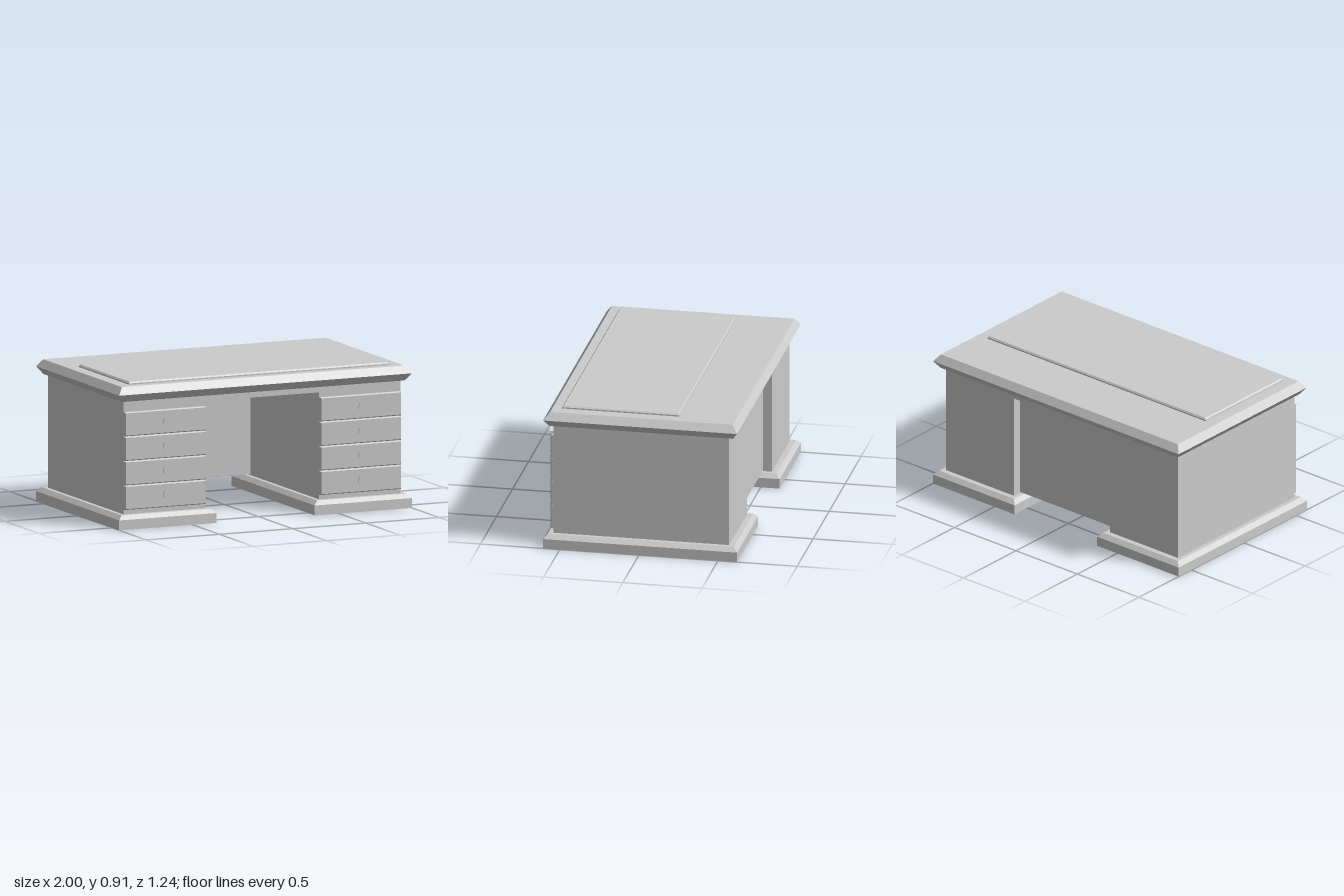
import * as THREE from 'three';

const material = new THREE.MeshStandardMaterial({ color: 0xcccccc, flatShading: true });
const shellMaterial = new THREE.MeshStandardMaterial({ color: 0xcccccc, flatShading: true, side: THREE.DoubleSide });

// Stacks rectangles [x0, x1, z0, z1, y] into a faceted solid, or an open shell without caps.
function loft(rings, capped = true) {
  const pos = [];
  const corners = rings.map(([x0, x1, z0, z1, y]) => [[x0, y, z1], [x1, y, z1], [x1, y, z0], [x0, y, z0]]);
  const quad = (a, b, c, d) => pos.push(...a, ...b, ...c, ...a, ...c, ...d);
  for (let i = 0; i + 1 < corners.length; i++) {
    const lo = corners[i], hi = corners[i + 1];
    for (let j = 0; j < 4; j++) {
      const k = (j + 1) % 4;
      quad(lo[j], lo[k], hi[k], hi[j]);
    }
  }
  if (capped) {
    const b = corners[0], t = corners[corners.length - 1];
    quad(b[3], b[2], b[1], b[0]);
    quad(...t);
  }
  const geo = new THREE.BufferGeometry();
  geo.setAttribute('position', new THREE.Float32BufferAttribute(pos, 3));
  geo.computeVertexNormals();
  return geo;
}

function add(parent, name, geo, mat = material) {
  const mesh = new THREE.Mesh(geo, mat);
  mesh.name = name;
  parent.add(mesh);
  return mesh;
}

function box(x0, x1, y0, y1, z0, z1) {
  return loft([[x0, x1, z0, z1, y0], [x0, x1, z0, z1, y1]]);
}

// Drawer with a bevelled front, a short box behind it and a flared knob
function createDrawer(x0, x1, y0, y1) {
  const drawer = new THREE.Group();
  drawer.name = 'drawer';
  const e = 0.006;
  const front = loft([
    [x0, x1, -y1, -y0, 0.545],
    [x0, x1, -y1, -y0, 0.562],
    [x0 + e, x1 - e, -y1 + e, -y0 - e, 0.57],
  ]);
  front.rotateX(Math.PI / 2);
  add(drawer, 'drawerFront', front);
  add(drawer, 'drawerBox', box(x0 + 0.012, x1 - 0.012, y0 + 0.004, y1 - 0.004, 0.15, 0.548));
  const knob = new THREE.CylinderGeometry(0.04, 0.018, 0.054, 10);
  knob.rotateX(Math.PI / 2);
  add(drawer, 'knob', knob).position.set((x0 + x1) / 2, (y0 + y1) / 2 + 0.002, 0.593);
  return drawer;
}

// Hollow pedestal, open underneath, standing on a chamfered plinth
function createPedestal(side) {
  const pedestal = new THREE.Group();
  pedestal.name = side > 0 ? 'leftPedestal' : 'rightPedestal';
  const span = (a, b) => (side > 0 ? [a, b] : [-b, -a]);
  const [x0, x1] = span(0.39, 0.945);
  add(pedestal, 'cabinet', loft([
    [x0, x1, -0.56, 0.55, 0.088],
    [x0, x1, -0.56, 0.55, 0.80],
  ], false), shellMaterial);
  add(pedestal, 'plinth', loft([
    [...span(0.335, 1), -0.62, 0.605, 0],
    [...span(0.335, 1), -0.62, 0.605, 0.062],
    [...span(0.363, 0.972), -0.594, 0.58, 0.088],
    [x0, x1, -0.56, 0.55, 0.088],
  ], false), shellMaterial);
  for (let i = 0; i < 4; i++) {
    const y = 0.117 + i * 0.154;
    pedestal.add(createDrawer(x0, x1, y, y + 0.151));
  }
  return pedestal;
}

export function createModel() {
  const desk = new THREE.Group();
  desk.name = 'desk';

  desk.add(createPedestal(1), createPedestal(-1));

  // Kneehole: rail under the top and recessed rear panel
  add(desk, 'topRail', box(-0.39, 0.39, 0.76, 0.80, -0.56, 0.55));
  add(desk, 'modestyPanel', box(-0.39, 0.39, 0.095, 0.76, -0.505, -0.46));

  // Desktop with a pointed edge moulding
  add(desk, 'desktop', loft([
    [-0.963, 0.963, -0.587, 0.572, 0.798],
    [-1, 1, -0.62, 0.605, 0.845],
    [-0.964, 0.964, -0.587, 0.567, 0.891],
  ]));

  // Raised writing surface, nearer the front
  add(desk, 'writingPad', loft([
    [-0.887, 0.887, -0.232, 0.507, 0.888],
    [-0.887, 0.887, -0.232, 0.507, 0.899],
    [-0.878, 0.878, -0.224, 0.498, 0.908],
  ]));

  return desk;
}
